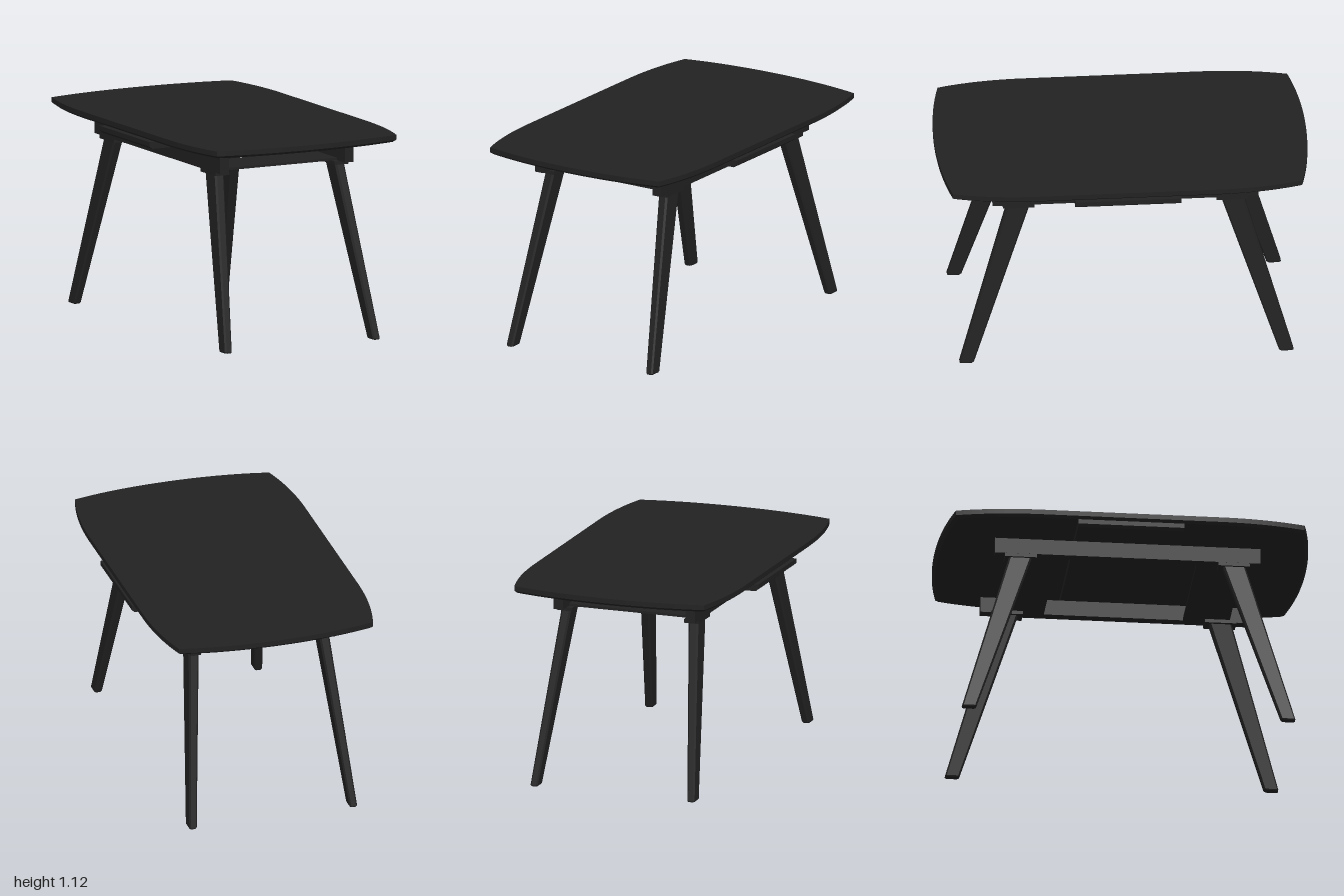
import * as THREE from 'three';

// Closed solid through convex rings of [x, y, z], listed bottom to top,
// each ring counterclockwise as seen from above.
function loft(rings) {
  const pos = [];
  const tri = (...pts) => pts.forEach((p) => pos.push(...p));
  const centre = (ring) => [0, 1, 2].map((k) => ring.reduce((s, p) => s + p[k], 0) / ring.length);
  const n = rings[0].length;
  const last = rings[rings.length - 1];
  const low = centre(rings[0]);
  const high = centre(last);
  for (let i = 0; i < n; i++) {
    const j = (i + 1) % n;
    tri(low, rings[0][j], rings[0][i]);
    tri(high, last[i], last[j]);
    for (let r = 0; r < rings.length - 1; r++) {
      const a = rings[r];
      const b = rings[r + 1];
      tri(a[i], a[j], b[j]);
      tri(a[i], b[j], b[i]);
    }
  }
  const geometry = new THREE.BufferGeometry();
  geometry.setAttribute('position', new THREE.Float32BufferAttribute(pos, 3));
  geometry.computeVertexNormals();
  return geometry;
}

// Rectangle with cut corners
function chamferedRing(cx, y, cz, hx, hz, c) {
  return [
    [hx, hz - c], [hx, -hz + c], [hx - c, -hz], [-hx + c, -hz],
    [-hx, -hz + c], [-hx, hz - c], [-hx + c, hz], [hx - c, hz],
  ].map(([x, z]) => [cx + x, y, cz + z]);
}

// Bowed table outline, mirrored from one quarter
function tableOutline() {
  const v = (x, z) => new THREE.Vector2(x, z);
  const side = new THREE.QuadraticBezierCurve(v(0.605, 0.5), v(0.602, 0.74), v(0.545, 0.94));
  const end = new THREE.QuadraticBezierCurve(v(0.545, 0.94), v(0.3, 1), v(0, 1));
  const quarter = [...side.getPoints(10), ...end.getPoints(10).slice(1)].map((p) => [p.x, p.y]);
  const back = quarter.slice().reverse();
  return [
    ...quarter.map(([x, z]) => [x, -z]),
    ...back.slice(1).map(([x, z]) => [-x, -z]),
    ...quarter.map(([x, z]) => [-x, z]),
    ...back.slice(1).map(([x, z]) => [x, z]),
  ].slice(0, -0 || undefined);
}

export function createModel() {
  const table = new THREE.Group();
  table.name = 'table';
  const black = new THREE.MeshStandardMaterial({ color: 0x222222 });
  black.name = 'black';

  const add = (name, geometry, x = 0, y = 0, z = 0) => {
    const mesh = new THREE.Mesh(geometry, black);
    mesh.name = name;
    mesh.position.set(x, y, z);
    table.add(mesh);
  };
  const addBox = (name, w, y0, y1, d, x = 0, z = 0) =>
    add(name, new THREE.BoxGeometry(w, y1 - y0, d), x, (y0 + y1) / 2, z);

  // Top with a chamfered lower edge
  const outline = tableOutline();
  const topRing = (y, inset) =>
    outline.map(([x, z]) => [x * (1 - inset / 0.605), y, z * (1 - inset)]);
  add('tableTop', loft([topRing(1.075, 0.016), topRing(1.088, 0), topRing(1.115, 0)]));

  // Extension leaf stored under the top, chamfered at its two ends
  const leafRing = (y, hx) => [[hx, y, 0.285], [hx, y, -0.285], [-hx, y, -0.285], [-hx, y, 0.285]];
  add('extensionLeaf', loft([leafRing(1.03, 0.589), leafRing(1.043, 0.605), leafRing(1.068, 0.605)]));

  // Long rails
  for (const sx of [-1, 1]) addBox('rail', 0.054, 0.944, 1.03, 1.43, sx * 0.379);

  for (const sz of [-1, 1]) {
    // Thin cross plates between the rails
    addBox('crossPlate', 0.706, 0.944, 0.957, 0.25, 0, sz * 0.5);

    for (const sx of [-1, 1]) {
      // Mounting plate and tapered, splayed leg
      addBox('legPlate', 0.085, 0.925, 0.944, 0.17, sx * 0.363, sz * 0.575);
      add('leg', loft([
        chamferedRing(sx * 0.45, 0, sz * 0.861, 0.018, 0.036, 0.008),
        chamferedRing(sx * 0.45, 0.006, sz * 0.859, 0.021, 0.039, 0.008),
        chamferedRing(sx * 0.365, 0.926, sz * 0.577, 0.028, 0.061, 0.01),
      ]));
    }
  }
  return table;
}
